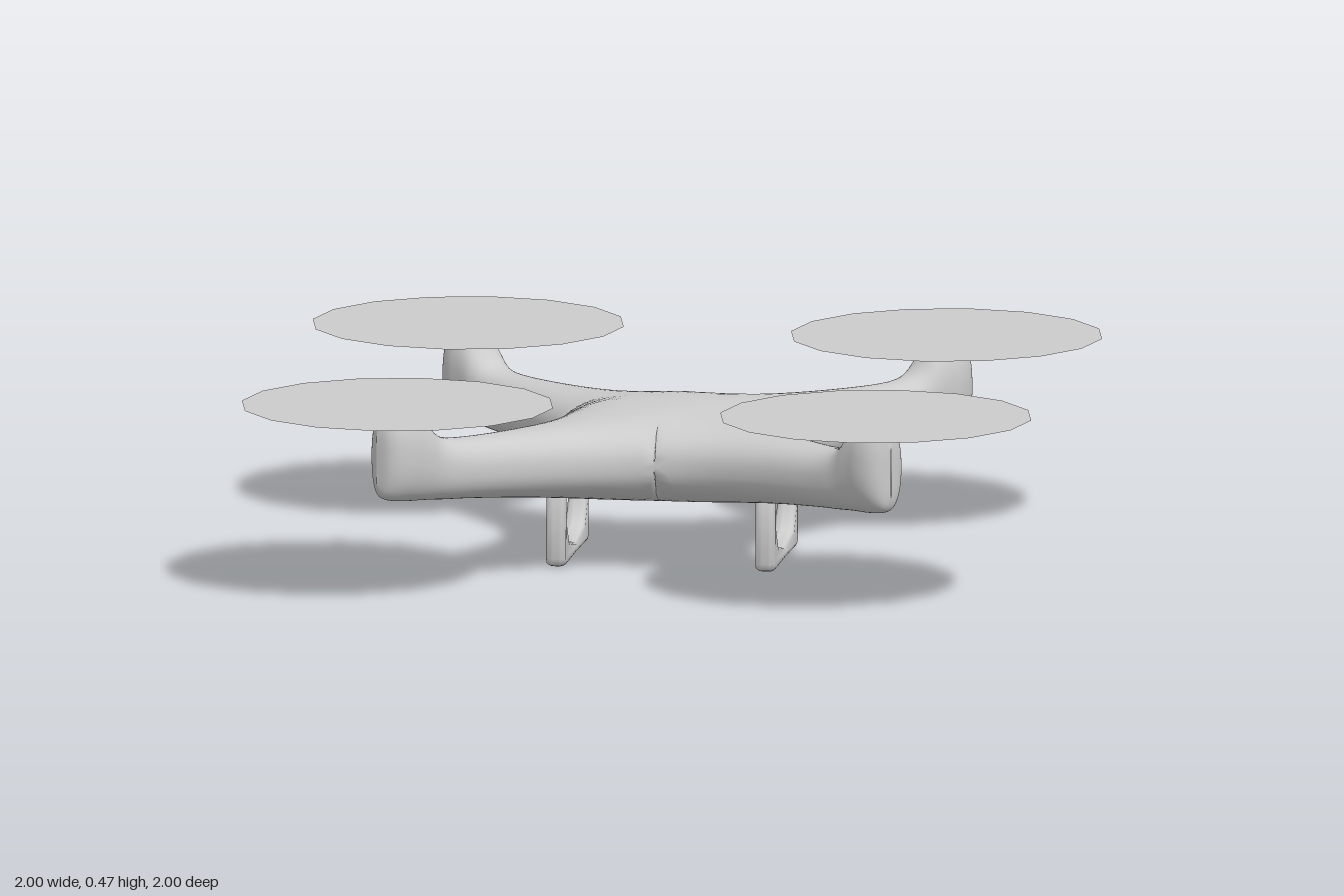
import * as THREE from 'three';
import { mergeGeometries, mergeVertices, toCreasedNormals } from 'three/addons/utils/BufferGeometryUtils.js';

// Stations along one diagonal arm: distance from centre, half width, top, bottom
const STATIONS = [
  [0, 0.42, 0.405, 0.16], [0.1, 0.33, 0.4, 0.163], [0.216, 0.216, 0.387, 0.172],
  [0.33, 0.145, 0.377, 0.185], [0.48, 0.1, 0.371, 0.202], [0.64, 0.075, 0.37, 0.216],
  [0.72, 0.068, 0.378, 0.221], [0.76, 0.065, 0.4, 0.224], [0.79, 0.065, 0.435, 0.226],
  [0.82, 0.065, 0.46, 0.227], [0.856, 0.065, 0.47, 0.23], [0.89, 0.055, 0.462, 0.235],
  [0.912, 0.034, 0.44, 0.248], [0.922, 0, 0.4, 0.28],
];

// One upper or lower sheet of a quarter of the shell, clipped to its 90 degree wedge
function armSheet(side) {
  const plan = new THREE.SplineCurve(STATIONS.map(s => new THREE.Vector2(s[0], s[1])));
  const heights = new THREE.SplineCurve(STATIONS.map(s => new THREE.Vector2(s[2], s[3])));
  const rows = (STATIONS.length - 1) * 4, cols = 24, power = 2.3;
  const positions = [], index = [];
  for (let i = 0; i <= rows; i++) {
    const p = plan.getPoint(i / rows), h = heights.getPoint(i / rows);
    const w = Math.max(p.y, 0.0005), reach = Math.min(p.x, w);
    for (let j = 0; j <= cols; j++) {
      const t = reach * Math.sin((j / cols - 0.5) * Math.PI);
      const k = Math.pow(Math.max(0, 1 - Math.pow(Math.abs(t) / w, power)), 1 / power);
      positions.push(p.x, (h.x + h.y) / 2 + side * k * (h.x - h.y) / 2, t);
      if (i < rows && j < cols) {
        const a = i * (cols + 1) + j, b = a + cols + 1;
        if (side > 0) index.push(a, a + 1, b, b, a + 1, b + 1);
        else index.push(a, b, a + 1, b, b + 1, a + 1);
      }
    }
  }
  const g = new THREE.BufferGeometry();
  g.setAttribute('position', new THREE.Float32BufferAttribute(positions, 3));
  g.setIndex(index);
  return g;
}

// Four quarters welded into one smooth star-shaped shell with upright motor pods
function shellGeometry() {
  const parts = [];
  for (let q = 0; q < 4; q++) {
    for (const side of [1, -1]) parts.push(armSheet(side).rotateY(Math.PI / 4 + q * Math.PI / 2));
  }
  const g = mergeVertices(mergeGeometries(parts), 1e-4);
  g.computeVertexNormals();
  return g;
}

// U-shaped landing skid with rounded edges
function skidGeometry() {
  const half = [[0.207, 0.025], [0.2, 0.008], [0.185, 0.004], [0, 0.006]];
  const inner = [[0, 0.036], [0.125, 0.058], [0.168, 0.115], [0.174, 0.188], [0.182, 0.195], [0.198, 0.193], [0.203, 0.18]];
  const right = [...half].reverse().slice(1).map(([z, y]) => [z, y]);
  const mirror = list => list.map(([z, y]) => [-z, y]);
  const outline = [
    ...mirror(half), ...right, ...[...inner].reverse(), ...mirror(inner.slice(1)),
  ].map(([z, y]) => new THREE.Vector2(z, Math.max(0, y - 0.004)));
  const g = new THREE.ExtrudeGeometry(new THREE.Shape(outline), {
    depth: 0.014, bevelThickness: 0.018, bevelSize: 0.011, bevelOffset: -0.011, bevelSegments: 4,
  });
  g.translate(0, 0, -0.007).rotateY(Math.PI / 2);
  return toCreasedNormals(g, 1);
}

export function createModel() {
  const model = new THREE.Group();
  const grey = new THREE.MeshStandardMaterial({ color: 0xcccccc });
  const thin = new THREE.MeshStandardMaterial({ color: 0xcccccc, side: THREE.DoubleSide });
  const add = (name, geometry, material, x, y, z) => {
    const mesh = new THREE.Mesh(geometry, material);
    mesh.name = name;
    mesh.position.set(x, y, z);
    model.add(mesh);
  };

  add('bodyShell', shellGeometry(), grey, 0, 0, 0);

  // Flat sixteen-sided rotor discs above the pods
  const disc = new THREE.CircleGeometry(0.394, 16).rotateX(-Math.PI / 2);
  for (const [x, sideName] of [[1, 'Left'], [-1, 'Right']]) {
    for (const [z, endName] of [[1, 'front'], [-1, 'back']]) {
      add(`${endName}${sideName}RotorDisc`, disc, thin, x * 0.606, 0.475, z * 0.606);
    }
  }

  // Landing skids under the body
  const skid = skidGeometry();
  add('leftSkid', skid, grey, 0.265, 0, 0);
  add('rightSkid', skid, grey, -0.265, 0, 0);
  return model;
}
